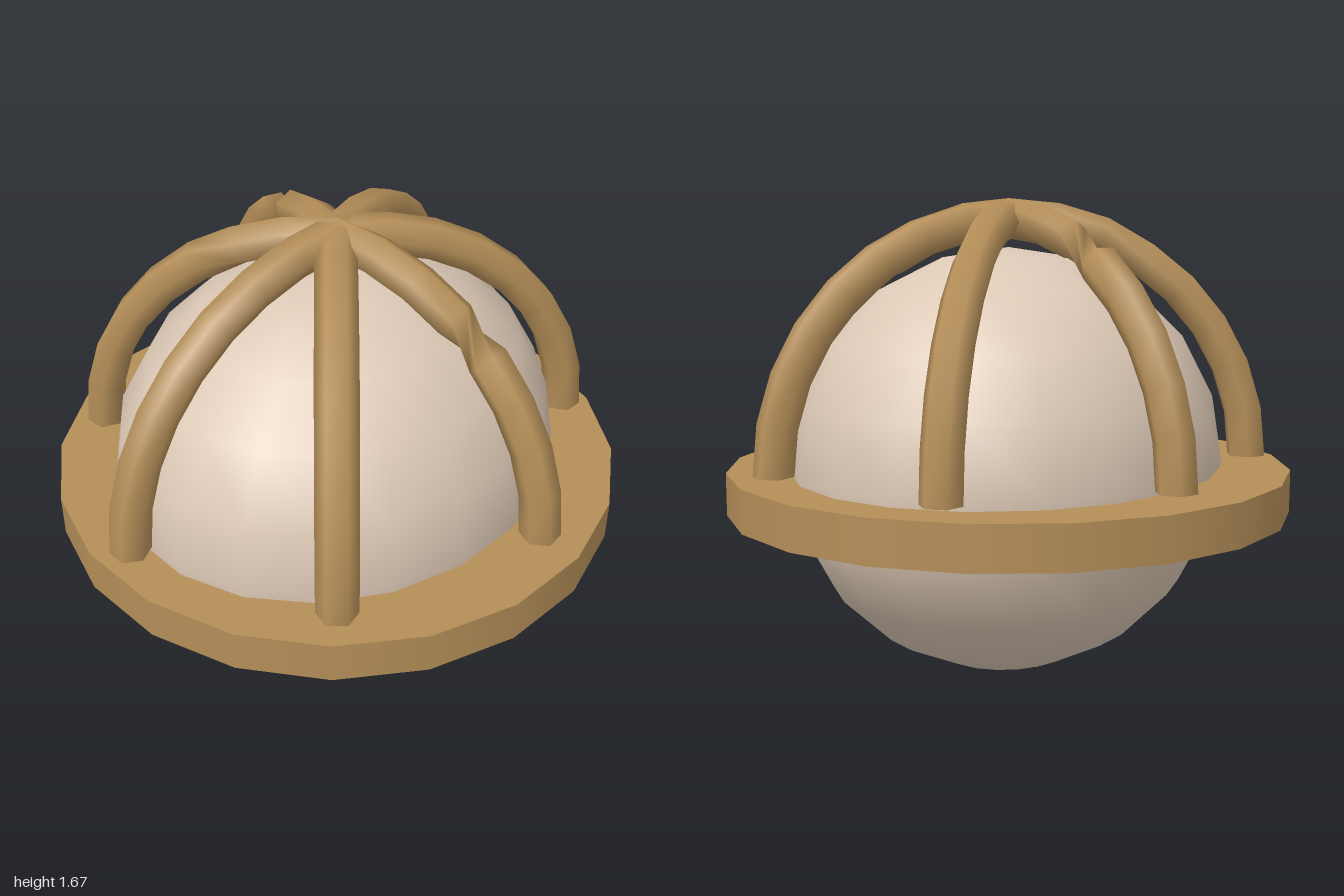
import * as THREE from 'three';

const ARMS = 7, RINGS = 8, SIDES = 6, TUBE = 0.07, BASE_Y = 0.755;

// Hexagonal tube rising from the rim to the crown; it twists by `twist` just before ring `kink`
function armGeometry(angle, twist, kink) {
  const end = new THREE.Vector3(0.85 * Math.cos(angle), 0, 0.9 * Math.sin(angle));
  const out = end.clone().normalize();
  const up = new THREE.Vector3(0, 1, 0);
  const side = new THREE.Vector3().crossVectors(out, up);
  const pos = [], index = [];
  const ring = (i) => {
    const t = (i / RINGS) * Math.PI / 2;
    const centre = end.clone().multiplyScalar(Math.cos(t)).addScaledVector(up, BASE_Y + 0.845 * Math.sin(t));
    const normal = out.clone().multiplyScalar(Math.cos(t)).addScaledVector(up, Math.sin(t));
    for (let j = 0; j < SIDES; j++) {
      const a = (j / SIDES) * Math.PI * 2 + (i >= kink ? twist : 0);
      const p = centre.clone().addScaledVector(side, TUBE * Math.cos(a)).addScaledVector(normal, TUBE * Math.sin(a));
      pos.push(p.x, p.y, p.z);
    }
  };
  for (let i = 0; i <= RINGS; i++) ring(i);
  for (let i = 0; i < RINGS; i++) {
    for (let j = 0; j < SIDES; j++) {
      const k = (j + 1) % SIDES;
      const a = i * SIDES + j, b = i * SIDES + k;
      index.push(a, b, b + SIDES, a, b + SIDES, a + SIDES);
    }
  }
  // separate vertices for the flat caps keep their edges sharp
  for (const i of [0, RINGS]) {
    const s = pos.length / 3;
    ring(i);
    for (let j = 1; j < SIDES - 1; j++) {
      if (i === 0) index.push(s, s + j + 1, s + j);
      else index.push(s, s + j, s + j + 1);
    }
  }
  const geo = new THREE.BufferGeometry();
  geo.setAttribute('position', new THREE.Float32BufferAttribute(pos, 3));
  geo.setIndex(index);
  geo.computeVertexNormals();
  return geo;
}

export function createModel() {
  const model = new THREE.Group();
  model.name = 'cagedGlobe';
  const brass = new THREE.MeshStandardMaterial({ name: 'brass', color: 0xb48e58 });
  const cream = new THREE.MeshStandardMaterial({ name: 'cream', color: 0xdcc8b5 });

  const add = (name, geo, mat, parent = model) => {
    const mesh = new THREE.Mesh(geo, mat);
    mesh.name = name;
    parent.add(mesh);
    return mesh;
  };

  // Globe, slightly longer front to back
  const globe = add('globe', new THREE.SphereGeometry(0.75, 20, 10), cream);
  globe.scale.z = 0.85 / 0.75;
  globe.position.y = 0.75;

  // Flat rim around the middle
  const rim = add('rim', new THREE.CylinderGeometry(1, 1, 0.15, 20), brass);
  rim.position.y = 0.65;

  // Seven arms meeting at the crown; some carry a twist
  const twists = { 0: [Math.PI / 2, 5], 3: [Math.PI / 6, 6], 4: [Math.PI / 2, 6] };
  const cage = new THREE.Group();
  cage.name = 'cage';
  model.add(cage);
  for (let n = 0; n < ARMS; n++) {
    const [twist, kink] = twists[n] || [0, RINGS + 1];
    add('arm' + (n + 1), armGeometry((n / ARMS) * Math.PI * 2, twist, kink), brass, cage);
  }
  return model;
}
